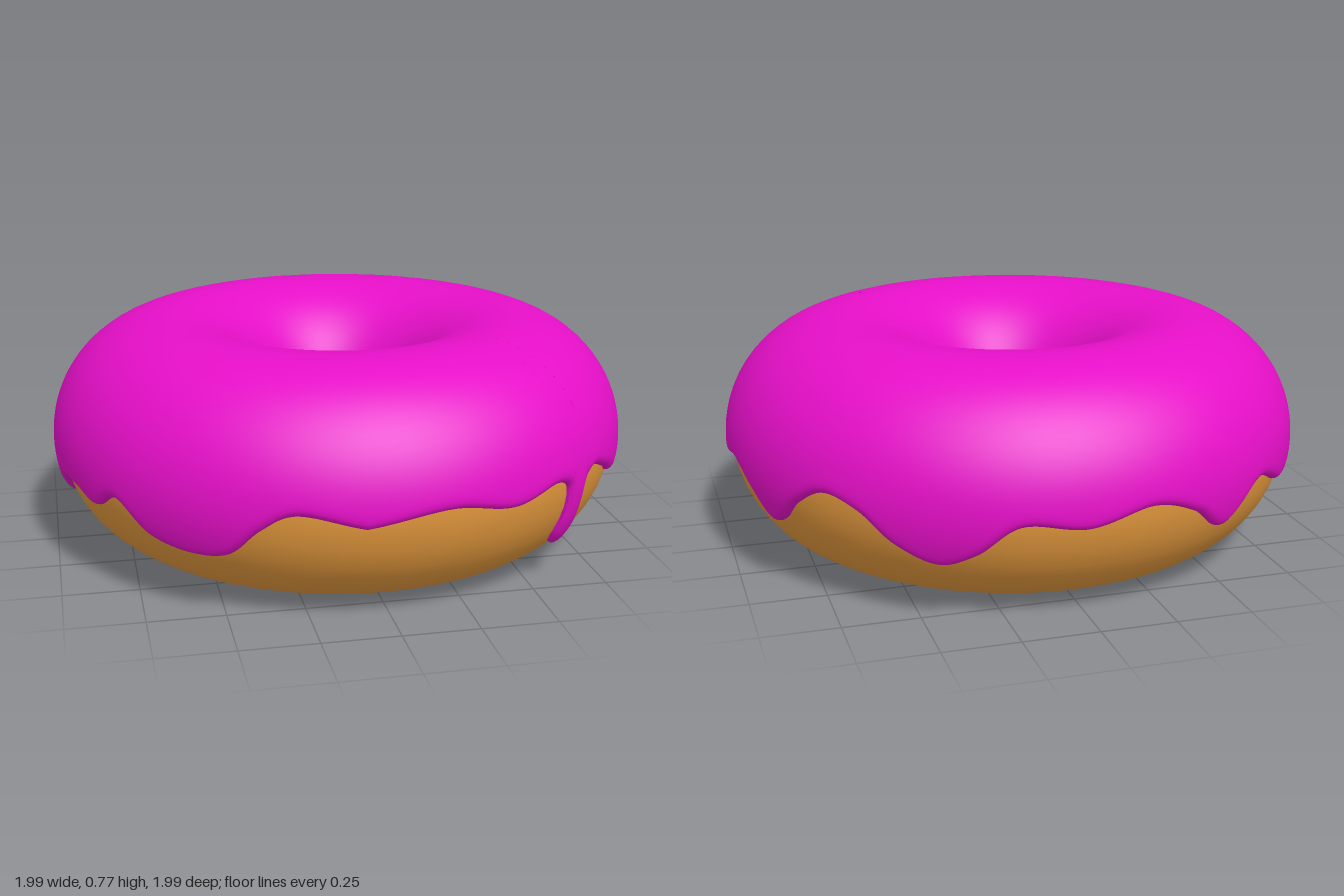
import * as THREE from 'three';

const RING = 0.595;      // radius of the ring's centre line
const DOUGH = 0.375;     // radius of the dough section
const ICING = 0.4;       // radius of the icing section
const OUTER = 0.97;      // radius used to measure lengths along the rim

// Lower edge of the icing: [degrees around from the front, height]
const EDGE = [
  [-6, 0.335], [10, 0.38], [23, 0.345], [34, 0.38], [37.2, 0.36], [38, 0.3], [38.2, 0.16],
  [40.4, 0.115], [42.8, 0.16], [43, 0.3], [43.8, 0.36], [47, 0.38], [54, 0.34], [61, 0.288],
  [71, 0.36], [76, 0.35], [85, 0.32], [95, 0.355], [100, 0.34], [105, 0.295], [111.6, 0.21],
  [116, 0.24], [121, 0.32], [128, 0.385], [136, 0.35], [143, 0.25], [151, 0.19], [158, 0.235],
  [166, 0.337], [178, 0.32], [191, 0.37], [200, 0.32], [208, 0.23], [219, 0.347], [232, 0.275],
  [241, 0.285], [253, 0.34], [262, 0.24], [269, 0.165], [275, 0.23], [281, 0.29], [289, 0.295],
  [296, 0.268], [303.5, 0.33], [311.5, 0.235], [321, 0.2], [328.5, 0.22], [335, 0.32],
  [341, 0.378], [354, 0.335],
];

function createIcing() {
  const columns = 720, rows = 44, inner = Math.PI, lip = 0.035;
  // Edge as a smooth curve in lengths along the surface
  const curve = new THREE.CatmullRomCurve3(EDGE.map(([deg, y]) => new THREE.Vector3(
    THREE.MathUtils.degToRad(deg) * OUTER, Math.asin((y - DOUGH) / ICING) * ICING, 0)));
  curve.arcLengthDivisions = 2000;
  const edge = curve.getSpacedPoints(columns).slice(0, columns);
  const period = Math.PI * 2 * OUTER;

  // Distance to the nearest bit of edge, so the lip rounds off on every side
  const edgeDistance = (i, u, v) => {
    let best = Infinity;
    for (let k = i - 45; k <= i + 45; k++) {
      const e = edge[(k + columns) % columns];
      let du = Math.abs(e.x - u);
      if (du > period / 2) du = period - du;
      best = Math.min(best, Math.hypot(du, e.y - v));
    }
    return best;
  };

  const positions = [], index = [];
  for (let i = 0; i < columns; i++) {
    const angle = edge[i].x / OUTER, start = edge[i].y / ICING;
    for (let j = 0; j <= rows; j++) {
      const t = (1 - Math.cos(Math.PI * j / rows)) / 2;
      const phi = start + (inner - start) * t;
      const d = Math.min(edgeDistance(i, edge[i].x, phi * ICING), (inner - phi) * ICING);
      const s = Math.min(1, Math.max(0, d) / lip);
      const r = 0.369 + (ICING - 0.369) * Math.sqrt(1 - (1 - s) ** 2);
      const reach = RING + r * Math.cos(phi);
      positions.push(Math.sin(angle) * reach, DOUGH + r * Math.sin(phi), Math.cos(angle) * reach);
      if (j < rows) {
        const a = i * (rows + 1) + j, b = ((i + 1) % columns) * (rows + 1) + j;
        index.push(a, b, b + 1, a, b + 1, a + 1);
      }
    }
  }
  const geometry = new THREE.BufferGeometry();
  geometry.setAttribute('position', new THREE.Float32BufferAttribute(positions, 3));
  geometry.setIndex(index);
  geometry.computeVertexNormals();
  const mesh = new THREE.Mesh(geometry,
    new THREE.MeshStandardMaterial({ color: 0xe60fc8, side: THREE.DoubleSide }));
  mesh.name = 'icing';
  return mesh;
}

export function createModel() {
  const group = new THREE.Group();
  group.name = 'doughnut';

  // Dough ring lying flat
  const dough = new THREE.Mesh(
    new THREE.TorusGeometry(RING, DOUGH, 48, 128).rotateX(Math.PI / 2),
    new THREE.MeshStandardMaterial({ color: 0xe0963c }));
  dough.position.y = DOUGH;
  dough.name = 'dough';

  // Glaze over the top with drips round the outside
  group.add(dough, createIcing());
  return group;
}
